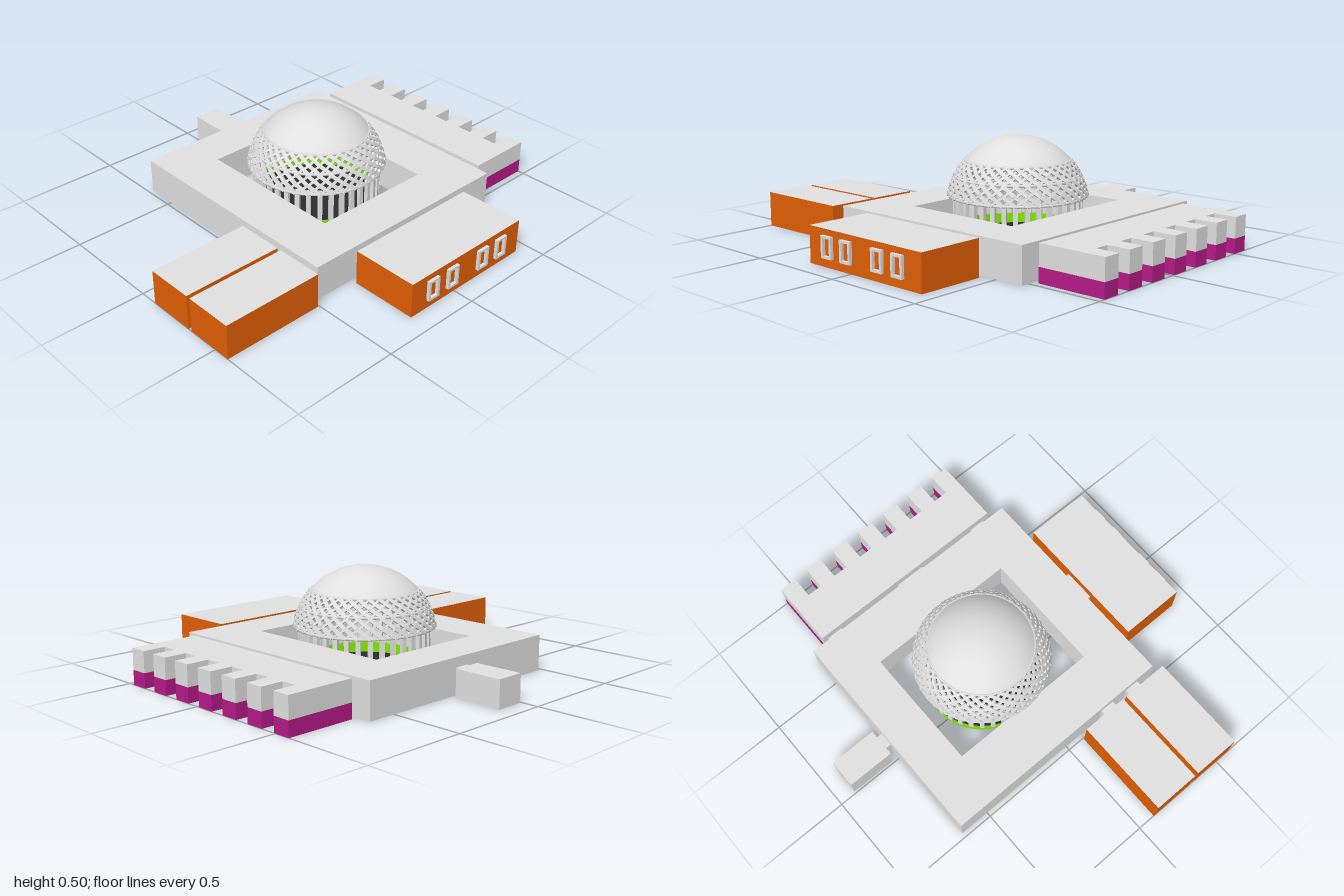
import * as THREE from 'three';

const mat = (name, color, extra = {}) => {
  const m = new THREE.MeshStandardMaterial({ color, ...extra });
  m.name = name;
  return m;
};

export function createModel() {
  const grey = mat('concreteGrey', 0xe0e0e0);
  const orange = mat('orange', 0xe25f06);
  const purple = mat('purple', 0xb51a88);
  const green = mat('green', 0x84f000, { side: THREE.DoubleSide });
  const dark = mat('darkBase', 0x2c2c2c);
  const shell = mat('domeGrey', 0xe0e0e0, { side: THREE.DoubleSide });

  const model = new THREE.Group();
  model.name = 'building';

  const add = (name, geometry, material, parent = model) => {
    const mesh = new THREE.Mesh(geometry, material);
    mesh.name = name;
    parent.add(mesh);
    return mesh;
  };

  // Rectangle in plan (x, z), as counterclockwise shape points
  const rect = (x0, x1, z0, z1) =>
    [[x0, z0], [x0, z1], [x1, z1], [x1, z0]].map(([x, z]) => new THREE.Vector2(x, -z));

  // Plan outline raised from y0 to y1; caps and walls may differ in colour
  const slab = (name, points, y0, y1, walls = grey, hole = null) => {
    const shape = new THREE.Shape(points);
    if (hole) shape.holes.push(new THREE.Path(hole.reverse()));
    const g = new THREE.ExtrudeGeometry(shape, { depth: y1 - y0, bevelEnabled: false });
    g.rotateX(-Math.PI / 2).translate(0, y0, 0);
    return add(name, g, [grey, walls]);
  };

  // Main block around the courtyard
  slab('courtyardBlock', rect(-0.652, 0.543, -0.64, 0.477), 0, 0.17, grey, rect(-0.44, 0.323, -0.387, 0.227));

  // Wings
  slab('leftWing', rect(0.573, 0.898, -0.43, 0.272), 0, 0.17, orange);
  slab('frontWingInner', rect(0.09, 0.323, 0.507, 1), 0, 0.17, orange);
  slab('frontWingOuter', rect(0.343, 0.58, 0.507, 1), 0, 0.17, orange);
  slab('rightAnnex', rect(-0.915, -0.68, -0.15, -0.01), 0, 0.13);

  // Back wing with seven teeth
  const comb = [[-0.578, -0.665]];
  for (let i = 0; i < 7; i++) {
    const x = -0.578 + i * 0.16;
    if (i) comb.push([x, -0.89]);
    comb.push([x, -1], [x + 0.086, -1]);
    if (i < 6) comb.push([x + 0.086, -0.89]);
  }
  comb.push([0.468, -0.665]);
  const combPoints = comb.map(([x, z]) => new THREE.Vector2(x, -z));
  slab('backWingLower', combPoints, 0, 0.07, purple);
  slab('backWingUpper', combPoints, 0.07, 0.17);

  // Short passages between the blocks
  [
    [-0.55, -0.47, -0.665, -0.64], [-0.115, 0.04, -0.665, -0.64], [0.36, 0.435, -0.665, -0.64],
    [0.215, 0.29, 0.477, 0.507], [0.375, 0.448, 0.477, 0.507],
    [0.543, 0.573, -0.16, 0], [-0.68, -0.652, -0.115, -0.045],
  ].forEach(r => slab('passage', rect(...r), 0, 0.125));

  // Projecting window frames on the left wing
  for (const z of [0.147, 0.024, -0.174, -0.297]) {
    const frame = new THREE.Shape(rect(-0.033, 0.033, -0.05, 0.05));
    frame.holes.push(new THREE.Path(rect(-0.021, 0.021, -0.039, 0.039).reverse()));
    const g = new THREE.ExtrudeGeometry(frame, { depth: 0.015, bevelEnabled: false });
    g.rotateY(Math.PI / 2).translate(0.898, 0.092, z);
    add('windowFrame', g, grey);
  }

  // Dome pavilion in the courtyard
  const dome = new THREE.Group();
  dome.name = 'dome';
  dome.position.set(-0.06, 0, -0.08);
  model.add(dome);

  // Dark floor inside a low green wall
  add('domeFloor', new THREE.CylinderGeometry(0.299, 0.299, 0.008, 64).translate(0, 0.004, 0), dark, dome);
  add('domeWall', new THREE.CylinderGeometry(0.3, 0.3, 0.06, 64, 1, true).translate(0, 0.03, 0), green, dome);

  const R = 0.335, cy = 0.16;
  const radiusAt = y => Math.sqrt(R * R - (y - cy) ** 2);
  const onDome = (y, a) =>
    new THREE.Vector3(radiusAt(y) * Math.cos(a), y, radiusAt(y) * Math.sin(a));

  // Smooth cap
  const capAngle = Math.acos((0.38 - cy) / R);
  add('domeCap', new THREE.SphereGeometry(R, 64, 20, 0, Math.PI * 2, 0, capAngle).translate(0, cy, 0), shell, dome);

  // Horizontal rings
  for (const y of [0.218, 0.307, 0.38]) {
    const ring = new THREE.TorusGeometry(radiusAt(y) - 0.003, 0.007, 6, 64);
    add('domeRing', ring.rotateX(Math.PI / 2).translate(0, y, 0), grey, dome);
  }

  // Flat bar from a to b, lying against the dome
  const bar = (a, b, width) => {
    const along = b.clone().sub(a);
    const length = along.length();
    along.normalize();
    const mid = a.clone().add(b).multiplyScalar(0.5);
    const across = along.clone().cross(mid.clone().setY(mid.y - cy)).normalize();
    const out = across.clone().cross(along);
    const mesh = add('latticeBar', new THREE.BoxGeometry(width, length, 0.01), grey, dome);
    mesh.quaternion.setFromRotationMatrix(new THREE.Matrix4().makeBasis(across, along, out));
    mesh.position.copy(mid);
  };

  // Crossing bars in two tiers, the wide ones all leaning the same way
  const count = 36;
  for (const [y0, y1, turn] of [[0.218, 0.307, 0.38], [0.307, 0.38, 0.36]]) {
    for (let i = 0; i < count; i++) {
      const a = (i / count) * Math.PI * 2;
      for (const [s, width] of [[1, 0.018], [-1, 0.011]]) {
        const mid = onDome((y0 + y1) / 2, a + s * turn / 2);
        bar(onDome(y0, a), mid, width);
        bar(mid, onDome(y1, a + s * turn), width);
      }
    }
  }

  // Posts carrying the lattice
  for (let i = 0; i < count; i++) {
    const a = (i / count) * Math.PI * 2;
    const post = add('domePost', new THREE.BoxGeometry(0.018, 0.16, 0.022), grey, dome);
    post.position.set(0.3 * Math.cos(a), 0.138, 0.3 * Math.sin(a));
    post.rotation.y = -a;
  }

  return model;
}
